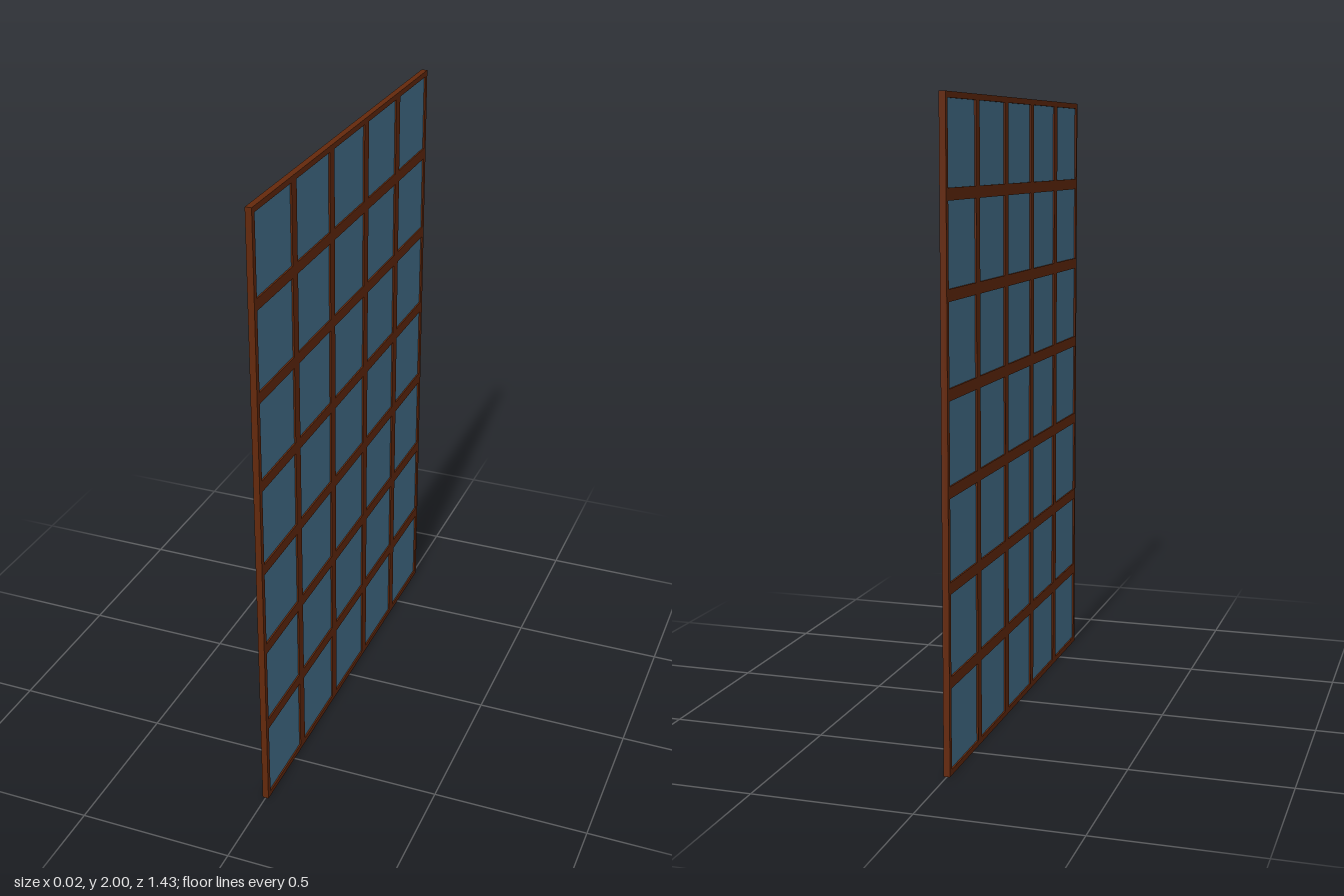
import * as THREE from 'three';

const ROWS = 7, COLS = 5;
const CELL = 2 / ROWS;          // pitch of the lattice
const RIM = 0.018;              // half a glazing bar
const THICK = 0.02, GLASS = 0.01;

export function createModel() {
  const group = new THREE.Group();
  const wood = new THREE.MeshStandardMaterial({ color: 0x64290c });
  const glass = new THREE.MeshStandardMaterial({ color: 0x467390 });
  const width = COLS * CELL, pane = CELL - 2 * RIM;

  // Visit the centre of every opening (z across, y up)
  const eachCell = (visit) => {
    for (let r = 0; r < ROWS; r++)
      for (let c = 0; c < COLS; c++)
        visit((c + 0.5) * CELL - width / 2, (r + 0.5) * CELL);
  };

  const rect = (path, cx, cy, w, h) => path
    .moveTo(cx - w / 2, cy - h / 2).lineTo(cx + w / 2, cy - h / 2)
    .lineTo(cx + w / 2, cy + h / 2).lineTo(cx - w / 2, cy + h / 2).closePath();

  // Wooden lattice: one sheet with a square hole for each pane
  const outline = rect(new THREE.Shape(), 0, 1, width, 2);
  eachCell((z, y) => outline.holes.push(rect(new THREE.Path(), z, y, pane, pane)));
  const latticeGeo = new THREE.ExtrudeGeometry(outline, { depth: THICK, bevelEnabled: false });
  latticeGeo.translate(0, 0, -THICK / 2).rotateY(Math.PI / 2);
  const lattice = new THREE.Mesh(latticeGeo, wood);
  lattice.name = 'windowFrame';
  group.add(lattice);

  // Glass panes recessed between the bars
  const panes = new THREE.Group();
  panes.name = 'windowPanes';
  const paneGeo = new THREE.BoxGeometry(GLASS, pane, pane);
  eachCell((z, y) => {
    const mesh = new THREE.Mesh(paneGeo, glass);
    mesh.name = 'pane';
    mesh.position.set(0, y, z);
    panes.add(mesh);
  });
  group.add(panes);
  return group;
}
